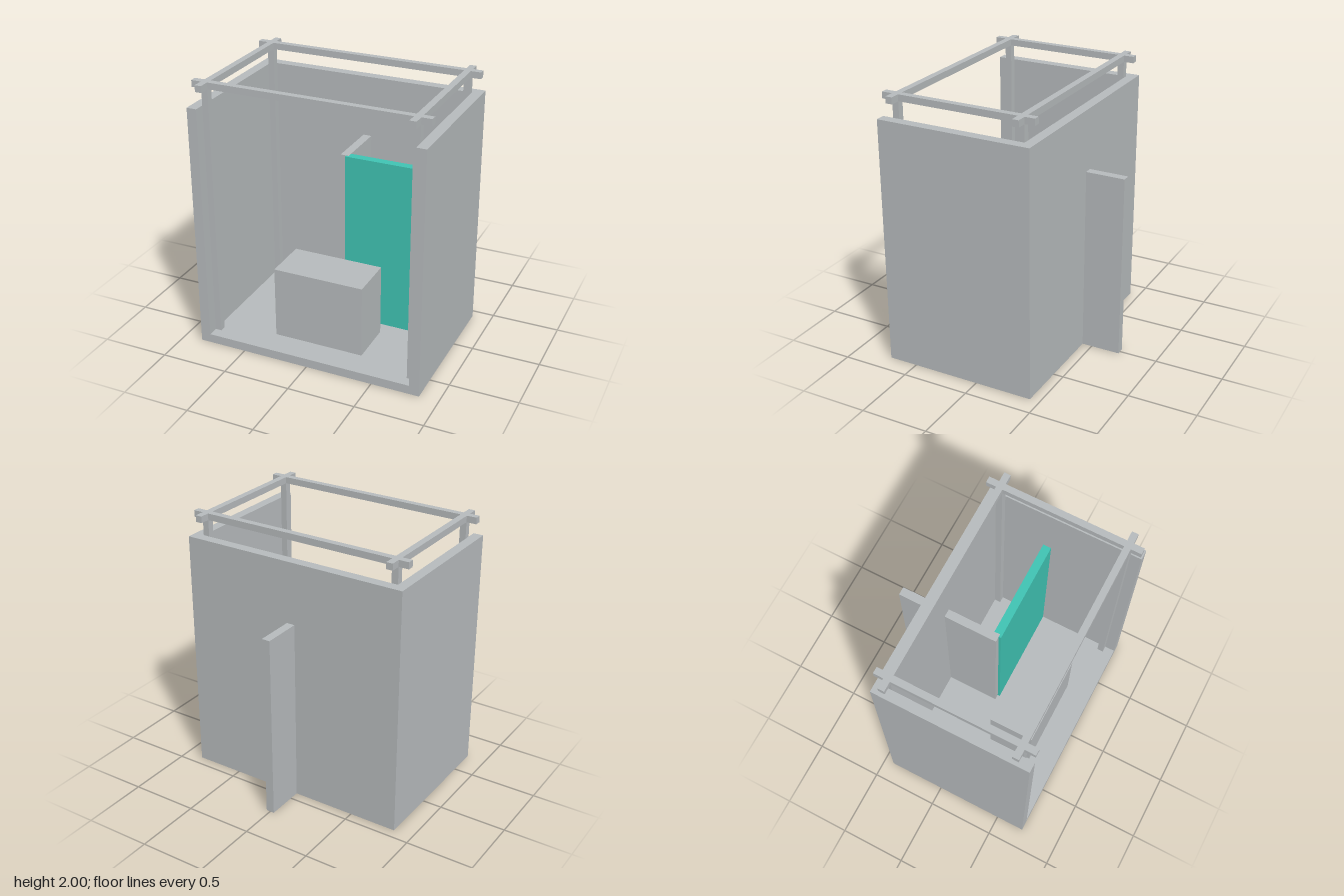
import * as THREE from 'three';

export function createModel() {
  const model = new THREE.Group();
  model.name = 'booth';

  const grey = new THREE.MeshStandardMaterial({ color: 0xb8bcbe });
  grey.name = 'grey';
  const teal = new THREE.MeshStandardMaterial({ color: 0x40c4b4 });
  teal.name = 'teal';

  // Box given by its extents along each axis
  function block(name, [x0, x1], [y0, y1], [z0, z1], material = grey) {
    const mesh = new THREE.Mesh(new THREE.BoxGeometry(x1 - x0, y1 - y0, z1 - z0), material);
    mesh.position.set((x0 + x1) / 2, (y0 + y1) / 2, (z0 + z1) / 2);
    mesh.name = name;
    model.add(mesh);
  }

  const W = 0.857, inner = 0.783;      // half widths outside and inside the walls
  const back = -0.427, front = 0.715;
  const floorTop = 0.067, wallTop = 1.83;
  const beamBottom = 1.952, top = 2;
  const bar = 0.048;                   // thickness of posts and beams

  // Shell, open at the front and top
  block('floor', [-W, W], [0, floorTop], [back, front]);
  block('backWall', [-inner, inner], [floorTop, wallTop], [back, back + 0.074]);
  block('leftWall', [inner, W], [floorTop, wallTop], [back, front]);
  block('rightWall', [-W, -inner], [floorTop, wallTop], [back, front]);

  // Corner posts and the crossing roof beams
  const postX = [-inner, inner - bar];
  const postZ = [-0.353, 0.588];
  for (const x of postX) {
    for (const z of postZ) block('post', [x, x + bar], [floorTop, beamBottom], [z, z + bar]);
    block('sideBeam', [x, x + bar], [beamBottom, top], [back, front]);
  }
  for (const z of postZ) block('crossBeam', [-W, W], [beamBottom, top], [z, z + bar]);

  // Partition running through the back wall, with the coloured screen beside it
  block('partition', [-0.032, 0.03], [0, 1.376], [-0.717, 0.05]);
  block('screen', [0.01, inner], [-0.001, 1.375], [0.006, 0.068], teal);

  // Counter block
  block('counter', [-0.342, 0.34], [floorTop, 0.61], [0.17, 0.513]);

  return model;
}
